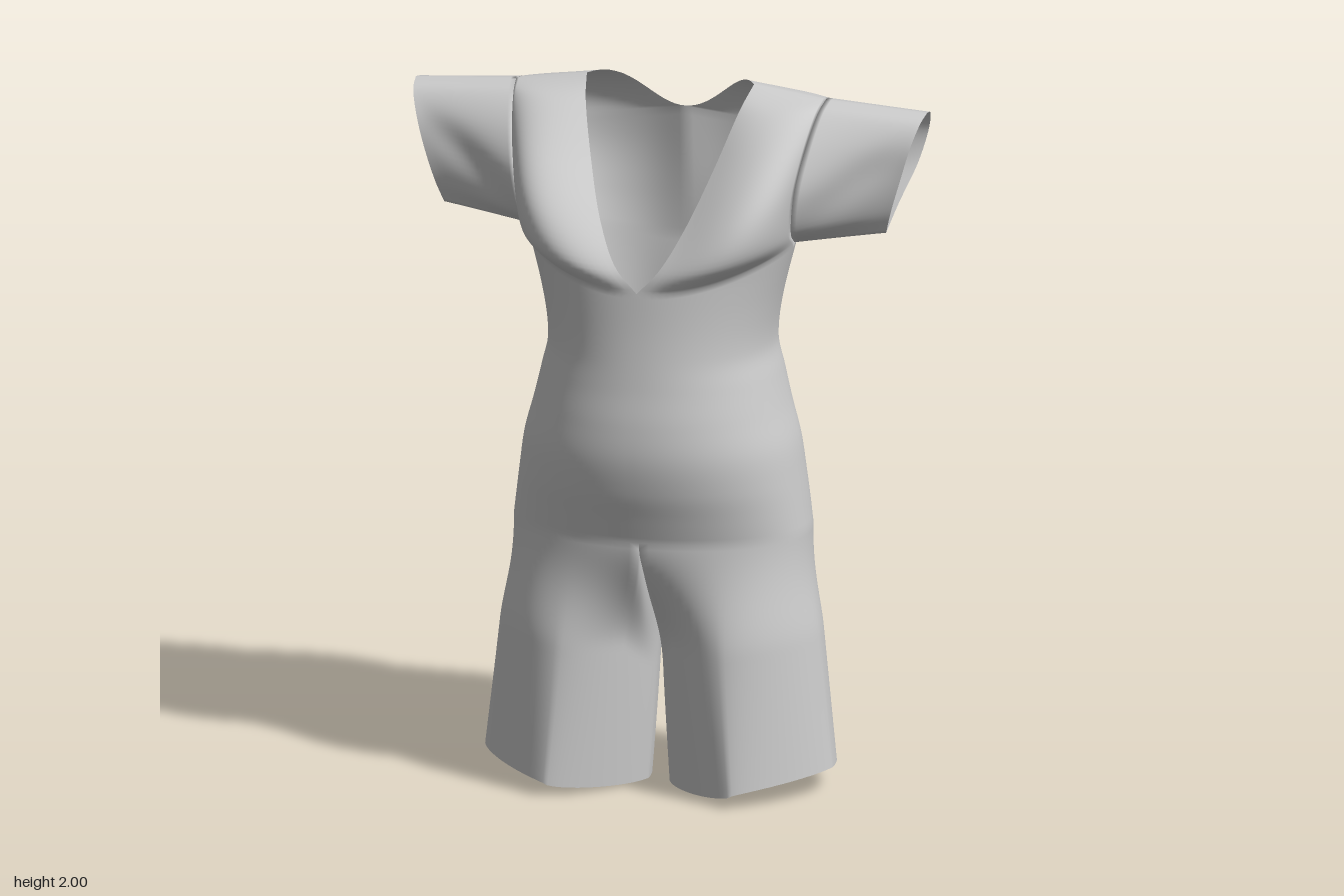
import * as THREE from 'three';

const V = (x, y, z) => new THREE.Vector3(x, y, z);
const lerp = THREE.MathUtils.lerp;
const HALF = Math.PI / 2;
const N = 56; // columns from centre front round the side to centre back
const INNER = 24; // columns along the inner leg
const ROWS = 32; // rows of the chest and sleeve patches
const SPLIT_Y = 0.75; // height where the trunk divides into legs

// Smooth function through [y, value] pairs
function track(pts) {
  const slope = (i) => {
    const a = pts[Math.max(i - 1, 0)], b = pts[Math.min(i + 1, pts.length - 1)];
    return (b[1] - a[1]) / (b[0] - a[0]);
  };
  return (y) => {
    let i = 0;
    while (i < pts.length - 2 && y > pts[i + 1][0]) i++;
    const [y0, v0] = pts[i], [y1, v1] = pts[i + 1], h = y1 - y0;
    const t = THREE.MathUtils.clamp((y - y0) / h, 0, 1), u = 1 - t;
    return v0 * (1 + 2 * t) * u * u + slope(i) * h * t * u * u
      + v1 * t * t * (3 - 2 * t) - slope(i + 1) * h * t * t * u;
  };
}

// Body outline by height: half width, centre front and centre back
const width = track([[0.75, 0.422], [0.9, 0.402], [1, 0.387], [1.1, 0.36], [1.2, 0.336],
  [1.28, 0.319], [1.4, 0.333], [1.58, 0.378]]);
const front = track([[0.75, 0.254], [0.82, 0.276], [0.9, 0.301], [1, 0.318], [1.1, 0.315], [1.2, 0.302],
  [1.35, 0.287], [1.5, 0.278]]);
const back = track([[0.75, -0.305], [0.82, -0.318], [0.9, -0.315], [1, -0.306], [1.1, -0.312], [1.25, -0.324],
  [1.5, -0.32]]);
const SEAM = -0.03;

const pw = (v, e) => Math.sign(v) * Math.abs(v) ** e;
const bell = (v) => Math.exp(-v * v);

// Point on the half body outline, a = 0 centre front, PI centre back
function bodyPoint(a, y) {
  const centre = a < 1e-6 || a > Math.PI - 1e-6;
  const x = centre ? 0 : width(y) * pw(Math.sin(a), 0.95);
  const c = pw(Math.cos(a), 0.92);
  let z = SEAM + (c > 0 ? front(y) - SEAM : SEAM - back(y)) * c;
  if (c < 0) {
    // hollow along the spine, and a fold slanting from the waist to the seat
    z += 0.04 * bell(x / 0.1) * bell((y - 1.18) / 0.26);
    z -= 0.014 * c * bell((y - 1.0 - 0.75 * x) / 0.04) * THREE.MathUtils.smoothstep(x, 0.02, 0.2);
  }
  return V(x, y, z);
}
const chestRing = (a) => bodyPoint(a, 1.48 + 0.09 * Math.sin(a) ** 2);

const torsoPoint = (u, v) => {
  const a = u * Math.PI;
  return bodyPoint(a, lerp(SPLIT_Y, 1.48 + 0.09 * Math.sin(a) ** 2, v));
};

// Neck edges and armhole edges, from the chest line up to the shoulder
const curve = (pts) => new THREE.CatmullRomCurve3(pts);
const neckTop = V(0.24, 1.997, -0.105), armTop = V(0.445, 1.967, -0.115);
const backNeckLow = chestRing(Math.PI);
// straight up the centre back, then round the scoop
const backNeck = {
  getPoint(t) {
    if (t <= 0.5) return backNeckLow.clone().lerp(V(0, 1.87, -0.275), t * 2);
    const k = t * 2 - 1;
    return V(0.24 * k, 1.87 + 0.127 * Math.sin(k * HALF) ** 2.1, -0.275 + 0.17 * k ** 3);
  },
};
const edges = {
  front: {
    angle: (s) => s * HALF,
    neck: curve([chestRing(0), V(0.063, 1.55, 0.27), V(0.122, 1.66, 0.205), V(0.175, 1.8, 0.1),
      V(0.222, 1.947, -0.02), neckTop]),
    arm: curve([chestRing(HALF), V(0.385, 1.62, 0.05), V(0.4, 1.73, 0.082), V(0.42, 1.85, 0.035),
      V(0.437, 1.942, -0.05), armTop]),
    // fullness of the cloth above the chest line
    swell: (t) => 1 - t * t,
    bust: 0.042,
  },
  back: {
    angle: (s) => Math.PI - s * HALF,
    neck: backNeck,
    arm: curve([chestRing(HALF), V(0.385, 1.62, -0.13), V(0.4, 1.73, -0.215), V(0.42, 1.86, -0.235),
      V(0.437, 1.946, -0.185), armTop]),
    swell: (t) => 1 - t ** 1.15,
    bust: 0,
  },
};

// Patch between neck edge and armhole, blended from the chest line
const chestPoint = ({ angle, neck, arm, swell, bust }) => (s, t) => {
  const base = neck.getPoint(0).lerp(arm.getPoint(0), s);
  const bulge = chestRing(angle(s)).sub(base);
  bulge.multiply(V((1 - t) ** 1.3, 1 - t, swell(t)));
  bulge.z += bust * 6.75 * t * (1 - t) ** 2 * Math.sin(Math.PI * s);
  return neck.getPoint(t).lerp(arm.getPoint(t), s).add(bulge);
};

// Sleeve: armhole loop lofted to a slanted teardrop cuff
const cuffTop = V(0.735, 1.947, -0.12), cuffLow = V(0.635, 1.612, -0.045);
const cuff = {
  front: curve([cuffLow, V(0.655, 1.68, -0.018), V(0.685, 1.78, -0.01), V(0.71, 1.87, -0.022),
    V(0.728, 1.928, -0.062), cuffTop]),
  back: curve([cuffLow, V(0.655, 1.68, -0.105), V(0.69, 1.78, -0.195), V(0.715, 1.87, -0.212),
    V(0.73, 1.93, -0.175), cuffTop]),
};
const sleevePoint = (u, v) => {
  const side = u <= 0.5 ? 'front' : 'back';
  const t = u <= 0.5 ? u * 2 : 2 - u * 2;
  const hole = edges[side].arm.getPoint(t), end = cuff[side].getPoint(t);
  const p = hole.clone().lerp(end, v);
  // depth eases off from the body, with a soft fold running out from the armpit
  p.z = lerp(hole.z, end.z, 1 - (1 - v) ** 1.5);
  const fold = Math.sin(Math.PI * v) * bell((t - 0.25 - 0.3 * v) / 0.13);
  p.z += (side === 'front' ? -0.014 : 0.008) * fold;
  return p;
};

// Leg: body outline plus crotch curve, lofted to a hem that is peaked in front and full behind
const crotch = curve([bodyPoint(Math.PI, SPLIT_Y), V(0, 0.69, -0.23), V(0, 0.63, -0.1), V(0, 0.61, 0.03),
  V(0, 0.66, 0.17), bodyPoint(0, SPLIT_Y)]);
const SPLIT = N / (N + INNER);
const legPoint = (u, v) => {
  const outer = u <= SPLIT + 1e-6;
  const k = Math.min(outer ? u / SPLIT : (u - SPLIT) / (1 - SPLIT), 1);
  const top = outer ? bodyPoint(k * Math.PI, SPLIT_Y) : crotch.getPoint(k);
  const a = THREE.MathUtils.degToRad(outer ? -50 + 280 * k : 230 + 80 * k);
  const x0 = 0.03 * v ** 1.5, x1 = lerp(0.425, 0.5, v);
  const z0 = -0.262 + 0.03 * v, z1 = 0.228 + 0.044 * v;
  const e = lerp(1, Math.cos(a) > 0 ? 1.45 : 0.95, v);
  const x = (x0 + x1) / 2 + (x1 - x0) / 2 * pw(Math.sin(a), e);
  const z = (z0 + z1) / 2 + (z1 - z0) / 2 * pw(Math.cos(a), e);
  const m = THREE.MathUtils.smoothstep(v, 0, 0.45);
  return V(lerp(top.x, x, m), lerp(top.y, 0.036 + 0.035 * Math.sin(a), v), lerp(top.z, z, m));
};

// Grid surface from f(u, v); side = -1 mirrors it, flip turns the faces over
function sheet(f, nu, nv, side, flip) {
  const pos = [], index = [];
  for (let j = 0; j <= nv; j++) {
    for (let i = 0; i <= nu; i++) {
      const p = f(i / nu, j / nv);
      pos.push(p.x * side, p.y, p.z);
    }
  }
  const turn = (side < 0) !== flip;
  for (let j = 0; j < nv; j++) {
    for (let i = 0; i < nu; i++) {
      const a = j * (nu + 1) + i, b = a + 1, c = a + nu + 1, d = c + 1;
      if (turn) index.push(a, c, b, b, c, d);
      else index.push(a, b, c, b, d, c);
    }
  }
  const g = new THREE.BufferGeometry();
  g.setAttribute('position', new THREE.Float32BufferAttribute(pos, 3));
  g.setIndex(index);
  g.computeVertexNormals();
  return g;
}

// Share normals where panels meet, so the seams look smooth
function blendNormals(geometries) {
  const sums = new Map(), p = V(0, 0, 0), n = V(0, 0, 0);
  const each = (fn) => geometries.forEach(({ attributes: { position, normal } }) => {
    for (let i = 0; i < position.count; i++) {
      p.fromBufferAttribute(position, i);
      fn(p.toArray().map((c) => Math.round(c * 2000)).join(), normal, i);
    }
  });
  each((key, normal, i) => {
    n.fromBufferAttribute(normal, i);
    if (!sums.has(key)) sums.set(key, V(0, 0, 0));
    sums.get(key).add(n);
  });
  each((key, normal, i) => {
    n.copy(sums.get(key)).normalize();
    normal.setXYZ(i, n.x, n.y, n.z);
  });
}

export function createModel() {
  const model = new THREE.Group();
  model.name = 'shortJumpsuit';
  const cloth = new THREE.MeshStandardMaterial({ color: 0xcccccc, side: THREE.DoubleSide });
  // name, surface, columns, rows, faces turned over
  const panels = [
    ['Torso', torsoPoint, N, 48, false], ['Leg', legPoint, N + INNER, 40, true],
    ['FrontChest', chestPoint(edges.front), N / 2, ROWS, false],
    ['BackChest', chestPoint(edges.back), N / 2, ROWS, true],
    ['Sleeve', sleevePoint, ROWS * 2, 20, false],
  ];
  for (const [label, side] of [['left', 1], ['right', -1]]) {
    for (const [name, f, nu, nv, flip] of panels) {
      const mesh = new THREE.Mesh(sheet(f, nu, nv, side, flip), cloth);
      mesh.name = label + name;
      model.add(mesh);
    }
  }
  blendNormals(model.children.map((m) => m.geometry));
  return model;
}
